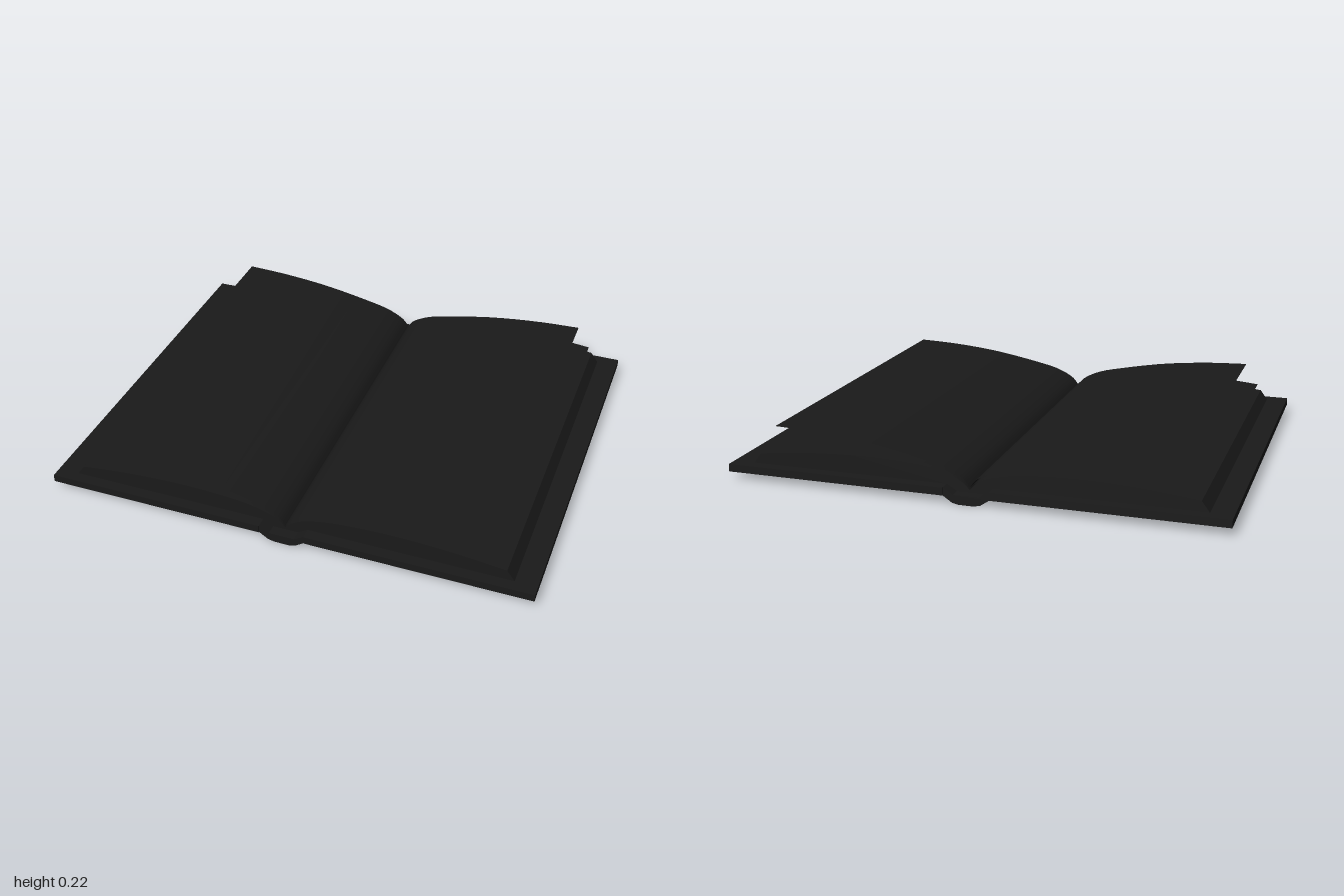
import * as THREE from 'three';
import { toCreasedNormals } from 'three/addons/utils/BufferGeometryUtils.js';

const ink = new THREE.MeshStandardMaterial({ color: 0x1a1a1a });
const sheetInk = new THREE.MeshStandardMaterial({ color: 0x1a1a1a, side: THREE.DoubleSide });

const vec = (list) => list.map(([x, y]) => new THREE.Vector2(x, y));
const curve = (list, n = 20) => new THREE.SplineCurve(vec(list)).getPoints(n);
const mirrorX = (points) => points.map((p) => new THREE.Vector2(-p.x, p.y));

// Solid with an x-y outline, centred along z
function slab(name, points, depth) {
  const geo = new THREE.ExtrudeGeometry(new THREE.Shape(points), { depth, bevelEnabled: false });
  geo.translate(0, 0, -depth / 2);
  const mesh = new THREE.Mesh(toCreasedNormals(geo, 0.5), ink);
  mesh.name = name;
  return mesh;
}

// Paper-thin sheet swept along z
function sheet(name, points, depth) {
  const geo = new THREE.PlaneGeometry(1, depth, points.length - 1, 1);
  geo.rotateX(-Math.PI / 2);
  const pos = geo.attributes.position;
  for (let i = 0; i < pos.count; i++) {
    const p = points[i % points.length];
    pos.setXY(i, p.x, p.y);
  }
  geo.computeVertexNormals();
  const mesh = new THREE.Mesh(geo, sheetInk);
  mesh.name = name;
  return mesh;
}

export function createModel() {
  const book = new THREE.Group();
  book.name = 'openBook';

  // Cover boards
  for (const side of [-1, 1]) {
    const board = new THREE.Mesh(new THREE.BoxGeometry(0.875, 0.03, 1.565), ink);
    board.name = side > 0 ? 'leftCover' : 'rightCover';
    board.position.set(side * 0.5275, 0.045, 0);
    book.add(board);
  }

  // Shallow spine channel joining the boards
  const spineHalf = vec([[0.03, 0], [0.055, 0.006], [0.09, 0.03], [0.09, 0.06], [0.05, 0.036]]);
  book.add(slab('spine', [...spineHalf, ...mirrorX(spineHalf).reverse()], 1.56));

  // Page block halves with an arched top, slanted fore edge and gutter
  const blockTop = curve([[0.85, 0.1], [0.65, 0.122], [0.42, 0.132], [0.2, 0.122], [0.08, 0.098], [0.025, 0.07], [0, 0.045]]);
  const block = [...vec([[0, 0.03], [0.05, 0.036], [0.09, 0.06], [0.88, 0.06]]), ...blockTop];

  // Loose sheets lifting off the block
  const lower = curve([[0, 0.05], [0.03, 0.08], [0.1, 0.115], [0.2, 0.135], [0.35, 0.149], [0.5, 0.15], [0.65, 0.143], [0.835, 0.126]]);
  const upper = curve([[0, 0.055], [0.03, 0.09], [0.1, 0.125], [0.2, 0.15], [0.4, 0.187], [0.6, 0.208], [0.78, 0.216]]);

  for (const side of ['left', 'right']) {
    const place = (points) => (side === 'left' ? points : mirrorX(points));
    book.add(slab(side + 'PageBlock', place(block), 1.475));
    book.add(sheet(side + 'LowerSheet', place(lower), 1.475));
    book.add(sheet(side + 'UpperSheet', place(upper), 1.475));
  }

  // The book lies slightly turned
  book.rotation.y = 0.041;
  const model = new THREE.Group();
  model.add(book);
  return model;
}
